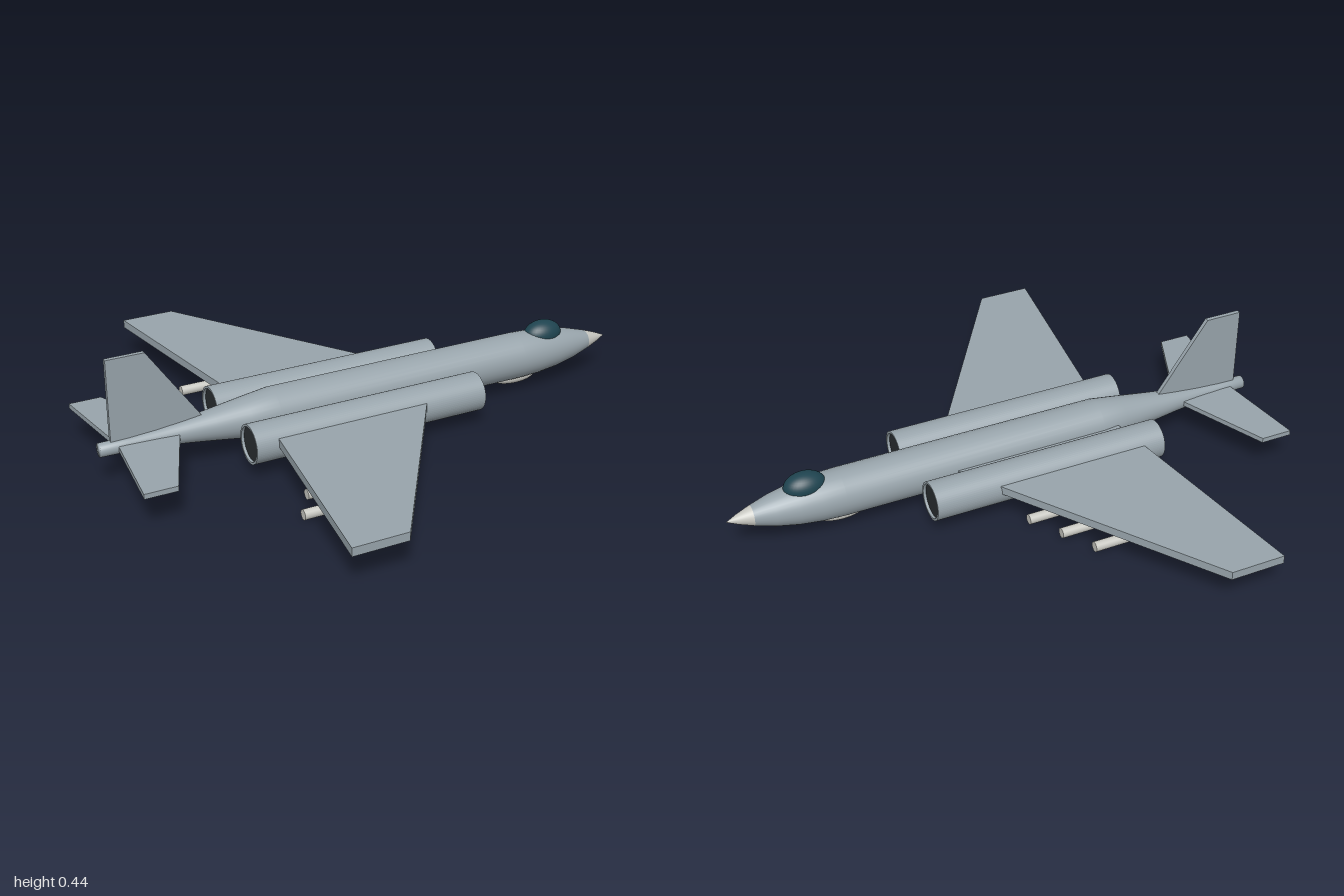
import * as THREE from 'three';

const mat = (color, extra = {}) => new THREE.MeshStandardMaterial({ color, ...extra });
const skin = mat(0x98a4ab);
const skinOpen = mat(0x98a4ab, { side: THREE.DoubleSide });
const pale = mat(0xc8c8c2);
const dark = mat(0x2a2e31);
const glass = mat(0x1f4450);

const AXIS_Y = 0.135; // height of the fuselage axis

function add(parent, name, geometry, material, x = 0, y = 0, z = 0) {
  const mesh = new THREE.Mesh(geometry, material);
  mesh.name = name;
  mesh.position.set(x, y, z);
  parent.add(mesh);
  return mesh;
}

// Revolves [x, radius] points about the x axis, listed from tail to nose
function revolve(points, sides = 32) {
  const profile = points.map(([x, r]) => new THREE.Vector2(r, x));
  return new THREE.LatheGeometry(profile, sides).rotateZ(-Math.PI / 2);
}

// Flat plate in the x-y plane, thickness centred on z = 0
function plate(points, thickness) {
  const shape = new THREE.Shape(points.map(([x, y]) => new THREE.Vector2(x, y)));
  return new THREE.ExtrudeGeometry(shape, { depth: thickness, bevelEnabled: false })
    .translate(0, 0, -thickness / 2);
}

// Horizontal plate from [x, z] points
const flatPlate = (points, thickness) => plate(points, thickness).rotateX(Math.PI / 2);

const ellipsoid = (a, b, c) => new THREE.SphereGeometry(1, 32, 20).scale(a, b, c);

const rod = (radius, length, sides = 16) =>
  new THREE.CylinderGeometry(radius, radius, length, sides).rotateZ(-Math.PI / 2);

export function createModel() {
  const model = new THREE.Group();
  model.name = 'jetAircraft';

  // Fuselage with tapering tail boom
  add(model, 'fuselage', revolve([
    [-1, 0], [-1, 0.024], [-0.9, 0.026], [-0.8, 0.032], [-0.7, 0.042], [-0.6, 0.055],
    [-0.48, 0.072], [-0.38, 0.085], [0.6, 0.085], [0.68, 0.082], [0.76, 0.073],
    [0.84, 0.057], [0.91, 0.036],
  ]), skin, 0, AXIS_Y);
  add(model, 'noseCone', revolve([[0.91, 0.036], [0.96, 0.018], [1, 0]]), pale, 0, AXIS_Y);

  // Canopy and belly fairing
  add(model, 'canopy', ellipsoid(0.075, 0.05, 0.05), glass, 0.72, 0.2);
  add(model, 'bellyFairing', ellipsoid(0.09, 0.027, 0.037), pale, 0.6, 0.055);

  // Upright fin
  add(model, 'fin', plate([[-0.96, 0.13], [-0.63, 0.17], [-0.825, 0.45], [-0.96, 0.45]], 0.016), skin);

  for (const side of [1, -1]) {
    const label = side > 0 ? 'left' : 'right';
    const half = new THREE.Group();
    half.name = label + 'Side';
    model.add(half);
    const mirrored = (points) => points.map(([x, z]) => [x, z * side]);

    // Swept wing, running through the engine to the fuselage
    add(half, label + 'Wing', flatPlate(mirrored([
      [0.2, 0.075], [-0.437, 0.075], [-0.565, 0.95], [-0.37, 0.95],
    ]), 0.03), skin, 0, AXIS_Y);

    // Tailplane
    add(half, label + 'Tailplane', flatPlate(mirrored([
      [-0.715, 0], [-0.936, 0], [-0.98, 0.36], [-0.865, 0.36],
    ]), 0.018), skin, 0, AXIS_Y);

    // Engine nacelle with dark intake and exhaust
    const engine = new THREE.Group();
    engine.name = label + 'Engine';
    engine.position.set(0, 0.12, 0.165 * side);
    half.add(engine);
    add(engine, 'nacelle', rodShell(-0.54, 0.335, 0.069, 0.061), skinOpen);
    add(engine, 'engineCore', rod(0.061, 0.855, 32), dark, -0.1025);

    // Staggered stores under the wing
    [[0.285, -0.178], [0.4, -0.245], [0.513, -0.312]].forEach(([z, x], i) => {
      const store = new THREE.Group();
      store.name = label + 'Store' + (i + 1);
      store.position.set(x, 0, z * side);
      half.add(store);
      add(store, 'missile', rod(0.018, 0.4), pale, 0, 0.023);
      add(store, 'pylon', new THREE.BoxGeometry(0.067, 0.055, 0.012), skin, 0, 0.061);
    });
  }
  return model;
}

// Open tube along x with flat end rims
function rodShell(back, front, outer, inner) {
  const shape = new THREE.Shape().absarc(0, 0, outer, 0, Math.PI * 2);
  shape.holes.push(new THREE.Path().absarc(0, 0, inner, 0, Math.PI * 2, true));
  return new THREE.ExtrudeGeometry(shape, { depth: front - back, bevelEnabled: false, curveSegments: 32 })
    .rotateY(Math.PI / 2).translate(back, 0, 0);
}
